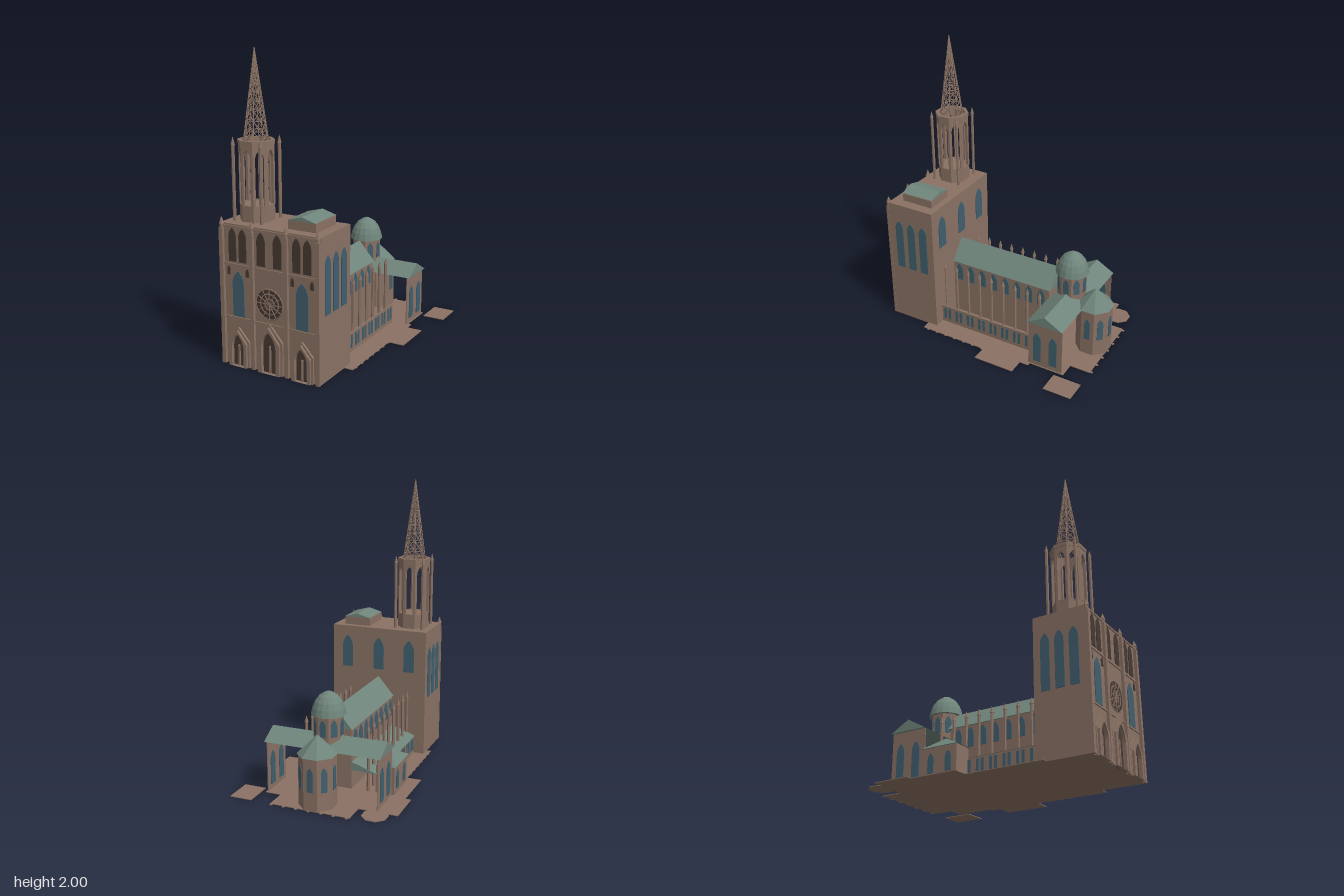
import * as THREE from 'three';
import { mergeGeometries } from 'three/addons/utils/BufferGeometryUtils.js';

const paint = (name, color) => Object.assign(new THREE.MeshStandardMaterial({ color }), { name });

export function createModel() {
  const stone = paint('stone', 0x8a7264);
  const copper = paint('copperRoof', 0x6f857b);
  const glass = paint('windowGlass', 0x40606e);
  const shade = paint('darkOpening', 0x463a34);
  const model = new THREE.Group();
  model.name = 'cathedral';
  // Inside "church", x runs along the nave to the choir and z to the south.
  const church = new THREE.Group();
  church.name = 'church';
  church.rotation.y = Math.PI / 6;
  model.add(church);

  const add = (name, geo, mat, parent = church, x = 0, y = 0, z = 0) => {
    const m = new THREE.Mesh(geo, mat);
    m.name = name;
    m.position.set(x, y, z);
    parent.add(m);
    return m;
  };
  const group = (name, x = 0, y = 0, z = 0, turn = 0, parent = church) => {
    const g = new THREE.Group();
    g.name = name;
    g.position.set(x, y, z);
    g.rotation.y = turn;
    parent.add(g);
    return g;
  };
  const flat = (g) => {
    const f = g.index ? g.toNonIndexed() : g;
    f.computeVertexNormals();
    return f;
  };
  // Box given by its limits
  const block = (name, mat, x0, x1, y0, y1, z0, z1, parent = church) =>
    add(name, new THREE.BoxGeometry(x1 - x0, y1 - y0, z1 - z0), mat, parent, (x0 + x1) / 2, (y0 + y1) / 2, (z0 + z1) / 2);
  const prism = (name, mat, rTop, rBottom, y0, y1, x, z, sides = 8, parent = church) =>
    add(name, flat(new THREE.CylinderGeometry(rTop, rBottom, y1 - y0, sides).rotateY(Math.PI / sides)), mat, parent, x, (y0 + y1) / 2, z);
  // Pointed arch outline standing on y0
  const arch = (C, x, y0, y1, w) => {
    const p = new C(), h = w / 2, spring = Math.max(y0, y1 - w * 0.95);
    p.moveTo(x - h, y0).lineTo(x + h, y0).lineTo(x + h, spring);
    p.quadraticCurveTo(x + h * 0.9, spring + (y1 - spring) * 0.6, x, y1);
    p.quadraticCurveTo(x - h * 0.9, spring + (y1 - spring) * 0.6, x - h, spring);
    p.closePath();
    return p;
  };
  const slab = (shape, depth) => new THREE.ExtrudeGeometry(shape, { depth, bevelEnabled: false, curveSegments: 5 });
  const lancet = (parent, x, y0, y1, w, mat = glass) =>
    add('window', slab(arch(THREE.Shape, x, y0, y1, w), 0.005), mat, parent);
  const polygon = (pts) => new THREE.Shape(pts.map(([x, y]) => new THREE.Vector2(x, y)));
  // Gable roof with its ridge along local z
  const gable = (name, parent, half, eave, ridge, length) =>
    add(name, slab(polygon([[-half, eave], [half, eave], [0, ridge]]), length), copper, parent, 0, 0, -length / 2);
  const pinnacle = (parent, x, z, y0, y1, top, r) => {
    prism('pinnacleShaft', stone, r, r, y0, y1, x, z, 6, parent);
    prism('pinnacleCap', stone, 0.001, r * 1.3, y1, top, x, z, 6, parent);
  };

  // Ground plate with its chapel footprints
  const floor = (x0, x1, z0, z1) => block('groundPlate', stone, x0, x1, 0, 0.005, z0, z1);
  floor(-0.555, 0.31, -0.395, 0.425);
  floor(-0.017, 0.31, -0.495, -0.39);
  floor(0.31, 0.565, -0.535, 0.4);
  floor(0.565, 0.712, -0.267, 0.289);
  floor(-0.05, 0.246, 0.42, 0.535);
  floor(0.51, 0.713, 0.43, 0.585);
  prism('groundPlate', stone, 0.088, 0.088, 0, 0.005, 0.615, -0.4);
  for (let i = 0; i < 7; i++) {
    const z = -0.25 + i * 0.088;
    floor(0.71, 0.728, z - 0.008, z + 0.008);
    floor(-0.5 + i * 0.08, -0.485 + i * 0.08, -0.402, -0.39);
    floor(-0.52 + i * 0.075, -0.505 + i * 0.075, 0.42, 0.433);
  }

  // West block
  block('westBlock', stone, -0.84, -0.48, 0, 0.93, -0.362, 0.362);
  for (const [z, turn] of [[0.362, 0], [-0.362, Math.PI]]) {
    const side = group('westBlockSide', -0.66, 0, z, turn);
    for (const x of [-0.098, 0, 0.098]) lancet(side, x, 0.43, 0.805, 0.062);
  }
  const rear = group('westBlockRear', -0.48, 0, 0, Math.PI / 2);
  for (const x of [-0.245, 0, 0.235]) lancet(rear, x, 0.62, 0.86, 0.08);

  // Facade: local x runs across the front, z points outward
  const facade = group('facade', -0.84, 0, 0, -Math.PI / 2);
  for (const x of [-0.35, -0.125, 0.125, 0.35]) {
    block('buttress', stone, x - 0.014, x + 0.014, 0, 0.9, 0, 0.02, facade);
    pinnacle(facade, x, 0.005, 0.88, 0.925, 0.97, 0.014);
  }
  for (const x of [-0.235, 0.235]) {
    lancet(facade, x, 0.33, 0.63, 0.085);
    for (const d of [-0.038, 0.038]) lancet(facade, x + d, 0.69, 0.905, 0.055, shade);
    for (const d of [-0.07, 0.07]) lancet(facade, x + d, 0.6, 0.655, 0.022, shade);
  }
  for (const x of [-0.06, 0.06]) lancet(facade, x, 0.69, 0.905, 0.06, shade);
  for (const y of [0.32, 0.67, 0.915]) block('stringCourse', stone, -0.355, 0.355, y - 0.006, y + 0.006, 0, 0.008, facade);

  // Rose window
  add('roseGlass', new THREE.CylinderGeometry(0.095, 0.095, 0.006, 32).rotateX(Math.PI / 2), shade, facade, 0, 0.455, 0.003);
  for (const r of [0.035, 0.066, 0.098]) add('roseRing', new THREE.TorusGeometry(r, 0.004, 5, 32), stone, facade, 0, 0.455, 0.006);
  for (let i = 0; i < 6; i++) {
    const spoke = add('roseSpoke', new THREE.BoxGeometry(0.19, 0.004, 0.006), stone, facade, 0, 0.455, 0.007);
    spoke.rotation.z = i * Math.PI / 6;
  }

  // Portals: stepped gabled arches around a dark doorway
  for (const [x, w, top] of [[0, 0.19, 0.33], [-0.235, 0.16, 0.26], [0.235, 0.16, 0.26]]) {
    for (const [k, depth] of [[1, 0.015], [0.84, 0.03]]) {
      const h = w * k / 2, peak = top * (0.6 + 0.4 * k);
      const s = polygon([[x - h, 0], [x + h, 0], [x + h, peak * 0.66], [x, peak], [x - h, peak * 0.66]]);
      s.holes.push(arch(THREE.Path, x, 0.001, top * 0.84, w * 0.56));
      add('portal', slab(s, depth), stone, facade);
    }
    lancet(facade, x, 0, top * 0.84, w * 0.56, shade);
    block('doorPost', stone, x - 0.006, x + 0.006, 0, top * 0.55, 0, 0.014, facade);
  }

  // Small roof house on the west block
  block('roofHouse', stone, -0.765, -0.527, 0.93, 0.99, 0.09, 0.288);
  gable('roofHouseRoof', group('roofHouseTop', -0.646, 0, 0.189, Math.PI / 2), 0.102, 0.988, 1.016, 0.245);

  // Open octagonal tower
  const tower = group('tower', -0.663, 0, -0.203);
  prism('towerBase', stone, 0.113, 0.113, 0.93, 1.03, 0, 0, 8, tower);
  for (let i = 0; i < 8; i++) {
    const face = group('towerFace', 0, 0, 0, i * Math.PI / 4, tower);
    const s = polygon([[-0.044, 1.03], [0.044, 1.03], [0.044, 1.44], [-0.044, 1.44]]);
    s.holes.push(arch(THREE.Path, 0, 1.035, 1.385, 0.054));
    add('towerArch', slab(s, 0.018), stone, face, 0, 0, 0.088);
    block('parapet', stone, -0.046, 0.046, 1.415, 1.44, 0.1, 0.11, face);
  }
  for (const x of [-0.103, 0.103]) for (const z of [-0.103, 0.103]) {
    pinnacle(tower, x, z, 0.93, 1.41, 1.46, 0.011);
  }

  // Lattice spire: ribs, rings and crossing braces
  const bars = [];
  const bar = (p, q, r) => {
    const d = q.clone().sub(p);
    const g = new THREE.CylinderGeometry(r, r, d.length(), 4);
    g.applyQuaternion(new THREE.Quaternion().setFromUnitVectors(new THREE.Vector3(0, 1, 0), d.normalize()));
    g.translate((p.x + q.x) / 2, (p.y + q.y) / 2, (p.z + q.z) / 2);
    bars.push(g);
  };
  const node = (i, t) => {
    const a = (i + 0.5) * Math.PI / 4, r = 0.08 * (1 - t);
    return new THREE.Vector3(r * Math.sin(a), 1.43 + 0.57 * t, r * Math.cos(a));
  };
  const levels = [0, 0.11, 0.22, 0.33, 0.43, 0.53, 0.62, 0.71, 0.8, 0.9];
  for (let i = 0; i < 8; i++) {
    bar(node(i, 0), node(i, 1), 0.0035);
    levels.forEach((t, k) => {
      bar(node(i, t), node(i + 1, t), 0.003);
      if (k === levels.length - 1) return;
      bar(node(i, t), node(i + 1, levels[k + 1]), 0.0025);
      bar(node(i + 1, t), node(i, levels[k + 1]), 0.0025);
    });
  }
  add('spire', flat(mergeGeometries(bars)), stone, tower);

  // Nave with clerestory, aisle walls and pier rows
  block('nave', stone, -0.48, 0.3, 0, 0.43, -0.11, 0.11);
  gable('naveRoof', group('naveTop', -0.085, 0, 0, Math.PI / 2), 0.12, 0.428, 0.566, 0.8);
  for (const side of [1, -1]) {
    const turn = side > 0 ? 0 : Math.PI;
    const upper = group('clerestory', -0.0975, 0, side * 0.11, turn);
    const aisle = group('aisle', -0.0975, 0, side * 0.28, turn);
    block('aisleWall', stone, -0.3825, 0.3825, 0, 0.14, -0.005, 0.005, aisle);
    for (let i = 0; i < 8; i++) {
      const x = (i - 3.5) * 0.096;
      lancet(upper, x, 0.28, 0.415, 0.056);
      for (const d of [-0.018, 0.018]) block('aisleWindow', glass, x + d - 0.01, x + d + 0.01, 0.035, 0.125, 0.004, 0.009, aisle);
    }
    for (let i = 0; i < 9; i++) pinnacle(church, -0.48 + i * 0.096, side * 0.226, 0, 0.43, 0.475, 0.011);
  }
  // Lean-to roof of the north aisle
  const lean = slab(polygon([[-0.292, 0.138], [-0.1, 0.138], [-0.1, 0.2]]), 0.78);
  add('aisleRoof', lean, copper, group('northAisleTop', 0.3, 0, 0, -Math.PI / 2), 0, 0, 0);

  // Transept: open-sided roof on two gable walls
  const transept = group('transept', 0.422, 0, 0);
  gable('transeptRoof', transept, 0.132, 0.353, 0.428, 0.82);
  for (const turn of [0, Math.PI]) {
    const end = group('transeptEnd', 0, 0, 0, turn, transept);
    const wall = polygon([[-0.127, 0], [0.127, 0], [0.127, 0.355], [0, 0.42], [-0.127, 0.355]]);
    add('gableWall', slab(wall, 0.006), stone, end, 0, 0, 0.387);
    for (const z of [0.393, 0.382]) {
      const panes = group('gableWindows', 0, 0, z, 0, end);
      for (const x of [-0.06, 0.06]) {
        const pane = lancet(panes, x, 0.04, 0.275, 0.058);
        pane.name = 'gableWindow';
      }
    }
  }

  // Crossing lantern with dome
  const crossing = group('crossing', 0.42, 0, 0);
  prism('lanternDrum', stone, 0.1, 0.1, 0.36, 0.568, 0, 0, 8, crossing);
  for (let i = 0; i < 8; i++) lancet(group('lanternFace', 0, 0, 0, i * Math.PI / 4, crossing), 0, 0.43, 0.545, 0.042).position.z = 0.092;
  const dome = [[0, 0.565], [0.116, 0.565], [0.106, 0.61], [0.09, 0.65], [0.064, 0.685], [0.03, 0.708], [0, 0.72]];
  add('dome', flat(new THREE.LatheGeometry(dome.map(([r, y]) => new THREE.Vector2(r, y)), 16)), copper, crossing);

  // Apse
  const apse = group('apse', 0.6, 0, 0);
  prism('apseWall', stone, 0.125, 0.125, 0, 0.36, 0, 0, 8, apse);
  prism('apseRoof', copper, 0.001, 0.133, 0.355, 0.48, 0, 0, 8, apse);
  for (let i = 0; i < 5; i++) lancet(group('apseFace', 0, 0, 0, i * Math.PI / 4, apse), 0, 0.13, 0.295, 0.042).position.z = 0.1155;

  // North chapel with a hipped roof
  const chapel = group('chapel', 0.165, 0, -0.345);
  block('chapelWall', stone, -0.125, 0.125, 0, 0.205, -0.065, 0.065, chapel);
  const hip = flat(new THREE.ConeGeometry(Math.SQRT1_2, 1, 4).rotateY(Math.PI / 4).scale(0.27, 0.07, 0.15));
  add('chapelRoof', hip, copper, chapel, 0, 0.238, 0);
  const chapelFront = group('chapelFront', 0, 0, -0.065, Math.PI, chapel);
  for (const x of [-0.065, 0.065]) lancet(chapelFront, x, 0.04, 0.17, 0.045);

  return model;
}
